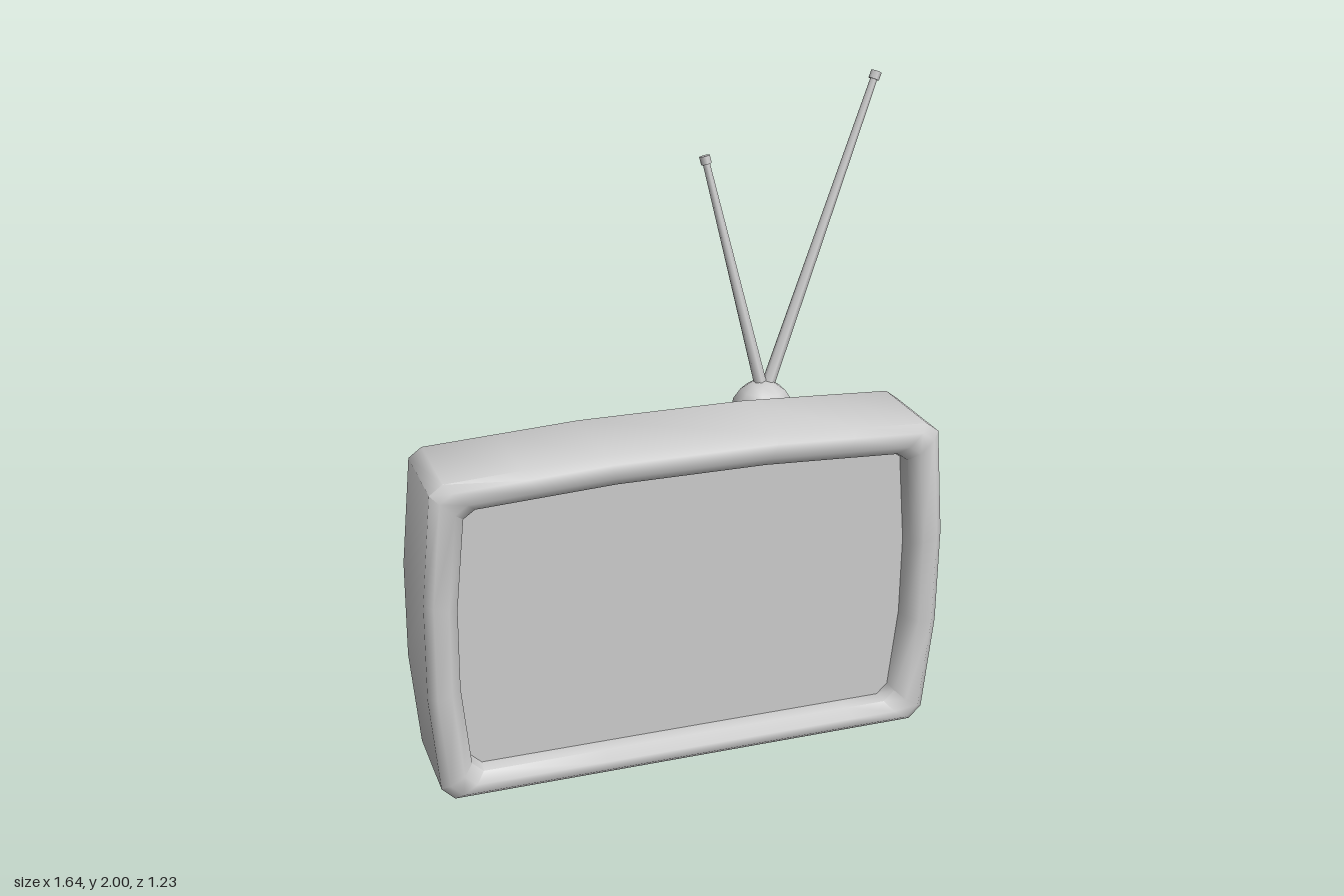
import * as THREE from 'three';
import { toCreasedNormals } from 'three/addons/utils/BufferGeometryUtils.js';

const grey = new THREE.MeshStandardMaterial({ color: 0xcccccc });

// Cabinet outline, counterclockwise from the front; height is scaled per ring
const H = 1.055;
const outline = [
  [-0.75, 0], [-0.31, 0], [0.6, 0], [0.75, 0], [0.79, 0.04], [0.82, 0.35], [0.82, 0.66], [0.79, 1.0], [0.75, 1.03],
  [0.52, 1.042], [0.26, 1.055], [-0.27, 1.055], [-0.52, 1.042], [-0.75, 1.03], [-0.79, 1.0], [-0.82, 0.66], [-0.82, 0.35], [-0.79, 0.04],
];
const N = outline.length;
const NOTCH = 1, SMALL = 9, LARGE = 10; // outline columns that are cut away

function ring(z, halfWidth, y0, y1) {
  return outline.map(([u, v]) => new THREE.Vector3(u * halfWidth / 0.82, y0 + (v / H) * (y1 - y0), z));
}

// Ring of the tapering rear housing
function rearRing(z) {
  const t = (0.3 - z) / 0.89;
  return ring(z, 0.82 - 0.29 * t, 0, H - 0.395 * t);
}

// Collects convex polygons as triangles
function faceList() {
  const pos = [];
  return {
    poly(...p) {
      for (let i = 1; i < p.length - 1; i++) for (const v of [p[0], p[i], p[i + 1]]) pos.push(v.x, v.y, v.z);
    },
    cap(points, facingBack) {
      const flat = points.map(p => new THREE.Vector2(p.x, p.y));
      for (const [a, b, c] of THREE.ShapeUtils.triangulateShape(flat, [])) {
        if (facingBack) this.poly(points[a], points[c], points[b]);
        else this.poly(points[a], points[b], points[c]);
      }
    },
    mesh(name) {
      const g = new THREE.BufferGeometry();
      g.setAttribute('position', new THREE.Float32BufferAttribute(pos, 3));
      const m = new THREE.Mesh(toCreasedNormals(g, 0.9), grey);
      m.name = name;
      return m;
    },
  };
}

const withY = (p, y) => new THREE.Vector3(p.x, y, p.z);

function makeCabinet() {
  const f = faceList();
  const screenRing = ring(0.54, 0.715, 0.08, 0.955);
  const ridge = rearRing(0.3), mid = rearRing(0.09), low = rearRing(-0.14);
  const inner = rearRing(-0.53), rear = rearRing(-0.59), back = ring(-0.613, 0.507, 0.022, 0.638);
  const rings = [
    screenRing,
    ring(0.585, 0.72, 0.077, 0.96),
    ring(0.613, 0.75, 0.05, 0.99),
    ring(0.613, 0.795, 0.022, 1.033),
    ring(0.588, 0.82, 0, H),
    ridge, mid, low, inner, rear, back,
  ];

  // Shell, leaving out the cut-away panels
  for (let r = 0; r < rings.length - 1; r++) {
    const a = rings[r], b = rings[r + 1];
    for (let i = 0; i < N; i++) {
      const j = (i + 1) % N;
      if (i === NOTCH && (a === inner || a === rear)) continue;
      if (i === LARGE && (a === ridge || a === mid)) continue;
      if (i === SMALL && a === ridge) continue;
      f.poly(a[i], b[i], b[j], a[j]);
    }
  }

  // Sunken panels behind the ridge
  const sunk = ridge.map(p => withY(p, p.y - 0.07));
  for (const i of [SMALL, LARGE]) f.poly(ridge[i + 1], ridge[i], sunk[i], sunk[i + 1]);
  f.poly(sunk[10], sunk[9], mid[9], mid[10]);
  f.poly(sunk[11], sunk[10], low[10], low[11]);
  f.poly(ridge[9], mid[9], sunk[9]);
  f.poly(mid[10], low[10], sunk[10]);
  f.poly(ridge[11], sunk[11], low[11]);

  // Socket notch in the lower back edge
  const t = 0.21;
  const [i1, i2, b1, b2] = [inner[1], inner[2], back[1], back[2]].map(p => withY(p, t));
  f.poly(inner[1], i1, i2, inner[2]);
  f.poly(i1, b1, b2, i2);
  f.poly(inner[1], rear[1], back[1], b1, i1);
  f.poly(i2, b2, back[2], rear[2], inner[2]);

  // Back panel around the notch
  f.cap([back[0], back[1], b1, b2, ...back.slice(2)], true);

  const s = faceList();
  s.cap(screenRing, false);
  return [f.mesh('cabinet'), s.mesh('screen')];
}

// Tapered rod between two points, with a small end cap
function makeAntenna(name, from, to) {
  const group = new THREE.Group();
  group.name = name;
  const dir = to.clone().sub(from);
  const length = dir.length();
  const rod = new THREE.Mesh(new THREE.CylinderGeometry(0.011, 0.021, length, 6).translate(0, length / 2, 0), grey);
  rod.name = 'rod';
  const tip = new THREE.Mesh(new THREE.CylinderGeometry(0.017, 0.017, 0.026, 6).translate(0, length - 0.013, 0), grey);
  tip.name = 'tip';
  group.add(rod, tip);
  group.position.copy(from);
  group.quaternion.setFromUnitVectors(new THREE.Vector3(0, 1, 0), dir.normalize());
  return group;
}

export function createModel() {
  const model = new THREE.Group();
  model.name = 'television';
  model.add(...makeCabinet());

  // Domed antenna foot
  const foot = new THREE.Mesh(new THREE.SphereGeometry(0.1, 8, 4, 0, Math.PI * 2, 0, Math.PI / 2), grey);
  foot.name = 'antennaFoot';
  foot.rotation.y = Math.PI / 8;
  foot.position.set(0.373, 0.968, 0.187);
  model.add(foot);

  model.add(
    makeAntenna('longAntenna', new THREE.Vector3(0.38, 1.02, 0.185), new THREE.Vector3(0.795, 1.995, 0.022)),
    makeAntenna('shortAntenna', new THREE.Vector3(0.376, 1.02, 0.185), new THREE.Vector3(0.21, 1.778, 0.065)),
  );
  return model;
}
